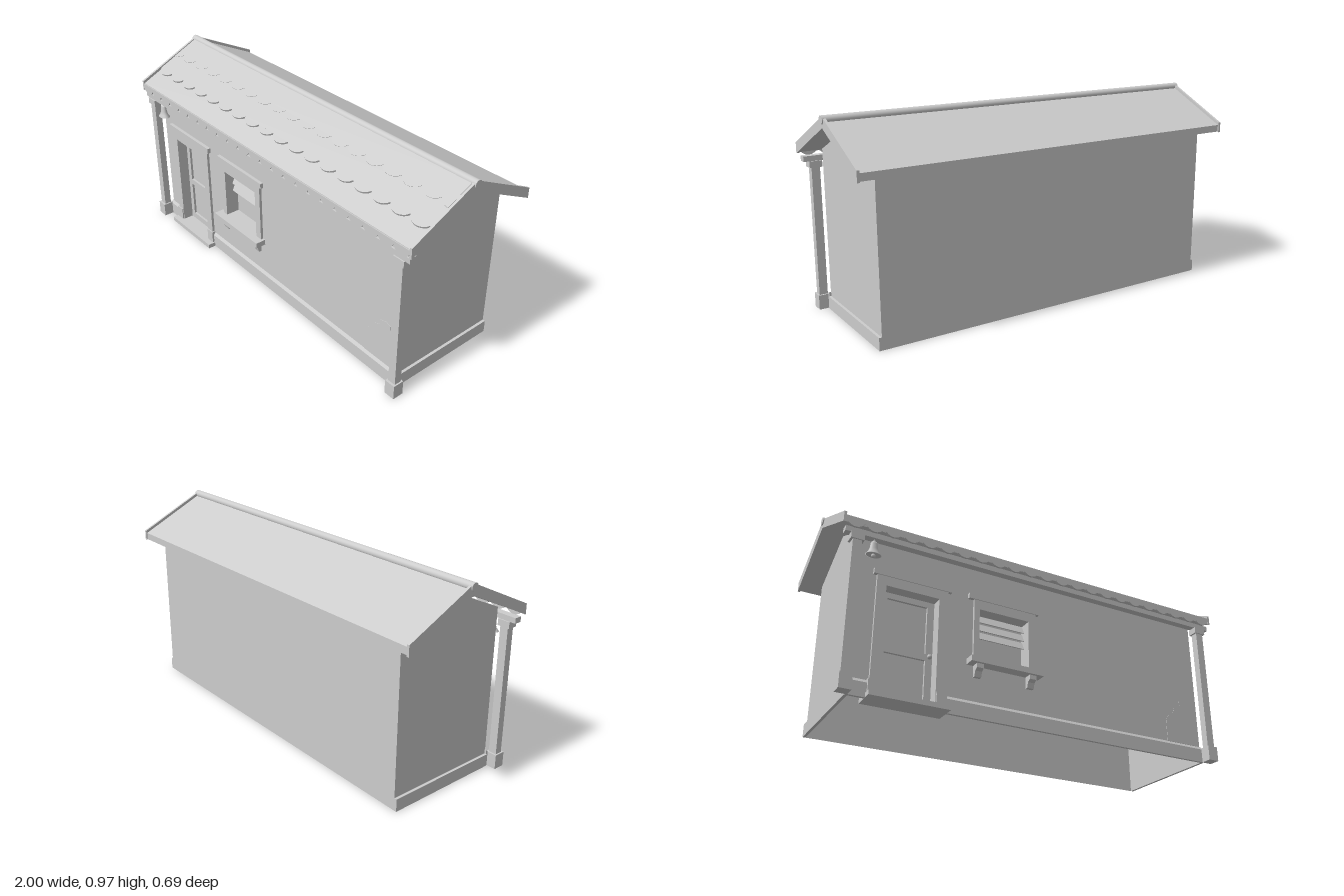
import * as THREE from 'three';

export function createModel() {
  const model = new THREE.Group();
  const plaster = new THREE.MeshStandardMaterial({ color: 0xcccccc, side: THREE.DoubleSide });
  plaster.name = 'plain grey';

  const add = (name, geometry, parent = model) => {
    const mesh = new THREE.Mesh(geometry, plaster);
    mesh.name = name;
    parent.add(mesh);
    return mesh;
  };
  const group = (name) => {
    const g = new THREE.Group();
    g.name = name;
    model.add(g);
    return g;
  };
  // box given by its limits on each axis
  const box = (name, x0, x1, y0, y1, z0, z1, parent) =>
    add(name, new THREE.BoxGeometry(x1 - x0, y1 - y0, z1 - z0)
      .translate((x0 + x1) / 2, (y0 + y1) / 2, (z0 + z1) / 2), parent);
  const polygon = (pts) => new THREE.Shape(pts.map(([x, y]) => new THREE.Vector2(x, y)));
  const extrude = (shape, depth) =>
    new THREE.ExtrudeGeometry(shape, { depth, bevelEnabled: false });
  // profile of (z, y) points extruded along x
  const alongX = (name, pts, x0, x1, parent) =>
    add(name, extrude(polygon(pts.map(([z, y]) => [-z, y])), x1 - x0)
      .rotateY(Math.PI / 2).translate(x0, 0, 0), parent);
  const rect = (x0, x1, y0, y1) => polygon([[x0, y0], [x0, y1], [x1, y1], [x1, y0]]);

  // walls: thin sheets, open underneath
  const W = 0.895, D = 0.285, EAVE = 0.77;
  const walls = group('walls');
  const front = polygon([[-W, 0], [W, 0], [W, EAVE], [-W, EAVE]]);
  front.holes.push(rect(-0.77, -0.524, 0.02, 0.523), rect(-0.326, -0.075, 0.272, 0.523));
  add('frontWall', new THREE.ShapeGeometry(front).translate(0, 0, D), walls);
  add('backWall', new THREE.PlaneGeometry(2 * W, EAVE).rotateY(Math.PI)
    .translate(0, EAVE / 2, -D), walls);
  const gable = polygon([[-D, 0], [D, 0], [D, EAVE], [0, 0.9], [-D, EAVE]]);
  for (const s of [-1, 1]) {
    add('gableWall', new THREE.ShapeGeometry(gable).rotateY(s * Math.PI / 2)
      .translate(s * W, 0, 0), walls);
    box('gableBase', s > 0 ? W : -W - 0.013, s > 0 ? W + 0.013 : -W, 0, 0.06, -D, D, walls);
  }
  const skirt = [[D - 0.003, 0], [0.295, 0], [0.295, 0.065], [D, 0.08], [D - 0.003, 0.08]];
  alongX('skirting', skirt, -W - 0.01, -0.82, walls);
  alongX('skirting', skirt, -0.475, W + 0.01, walls);

  // stepped patch of worn plaster low on the front wall
  add('wornPatch', extrude(polygon([[0.7, 0.08], [0.87, 0.08], [0.868, 0.26], [0.855, 0.27],
    [0.855, 0.3], [0.828, 0.31], [0.79, 0.3], [0.79, 0.275], [0.755, 0.26], [0.745, 0.23],
    [0.72, 0.215], [0.7, 0.19]]), 0.018).translate(0, 0, 0.269), walls);

  // roof
  const roof = group('roof');
  const SLOPE = 0.478, TILT = Math.atan(SLOPE), TOP = 0.95;
  const chevron = (top, thick, half) => [[-half, top - SLOPE * half - thick], [0, top - thick],
    [half, top - SLOPE * half - thick], [half, top - SLOPE * half], [0, top],
    [-half, top - SLOPE * half]];
  alongX('roofPanel', chevron(TOP, 0.034, 0.34), -0.985, 0.985, roof);
  for (const x of [-0.995, 0.983])
    alongX('bargeBoard', chevron(0.965, 0.05, 0.345), x, x + 0.012, roof);
  add('ridgePole', new THREE.CylinderGeometry(0.019, 0.019, 2, 24)
    .rotateZ(Math.PI / 2).translate(0, 0.95, 0), roof);

  // strip with a scalloped lower edge
  const scallops = (half, top, cusp, drop, count, phase) => {
    const pts = [[half, top], [-half, top]];
    const steps = count * 10;
    for (let i = 0; i <= steps; i++) {
      const t = i / steps;
      const lobe = Math.pow(Math.abs(Math.sin(Math.PI * (count * t + phase))), 0.65);
      pts.push([-half + 2 * half * t, cusp - drop * lobe]);
    }
    return polygon(pts);
  };
  // shingle rows: [upper z, lower z, thickness, phase]
  for (const [z0, z1, t, phase] of [[0.1, 0.257, 0.009, 0], [0.005, 0.142, 0.011, 0.5]]) {
    const k = 1 / Math.cos(TILT);
    add('shingleRow', extrude(scallops(0.98, -z0 * k, -(z1 - 0.028) * k, 0.03, 18, phase), t)
      .rotateX(-Math.PI / 2).rotateX(TILT).translate(0, TOP, 0), roof);
  }
  add('eaveTrim', extrude(scallops(0.983, 0.785, 0.768, 0.03, 23, 0), 0.01)
    .translate(0, 0, 0.335), roof);

  // porch beam and posts
  const porch = group('porch');
  box('beam', -0.98, 0.98, 0.715, 0.74, 0.3, 0.335, porch);
  for (const s of [-1, 1]) {
    const x = s * 0.925;
    box('post', x - 0.02, x + 0.02, 0.07, 0.69, 0.3, 0.335, porch);
    box('postBase', x - 0.027, x + 0.027, 0, 0.07, 0.292, 0.346, porch);
    box('postCapital', x - 0.03, x + 0.03, 0.685, 0.715, 0.294, 0.341, porch);
  }

  // framed opening with side posts, head and lintel cap
  const frame = (parent, x0, x1, in0, in1, y0, cap0, cap1) => {
    box('leftJamb', x0, in0, y0, 0.57, 0.215, 0.298, parent);
    box('rightJamb', in1, x1, y0, 0.57, 0.215, 0.298, parent);
    box('head', in0, in1, 0.523, 0.57, 0.215, 0.298, parent);
    box('lintel', cap0, cap1, 0.568, 0.594, 0.27, 0.302, parent);
  };

  // door
  const door = group('door');
  frame(door, -0.813, -0.481, -0.77, -0.524, 0.02, -0.829, -0.465);
  const leaf = rect(-0.77, -0.524, 0.02, 0.523);
  leaf.holes.push(rect(-0.743, -0.556, 0.272, 0.496), rect(-0.743, -0.556, 0.053, 0.242));
  add('doorFrame', extrude(leaf, 0.014).translate(0, 0, 0.23), door);
  box('doorPanel', -0.77, -0.524, 0.02, 0.523, 0.217, 0.232, door);
  add('doorKnob', new THREE.SphereGeometry(0.011, 16, 12).translate(-0.54, 0.258, 0.254), door);
  box('doorStep', -0.825, -0.468, 0, 0.022, 0.22, 0.335, door);
  for (const x of [-0.82, -0.521])
    box('doorPlinth', x, x + 0.046, 0.02, 0.085, 0.28, 0.304, door);

  // window
  const win = group('window');
  frame(win, -0.353, -0.037, -0.326, -0.075, 0.27, -0.38, -0.021);
  box('windowPane', -0.326, -0.075, 0.272, 0.523, 0.217, 0.227, win);
  box('windowSill', -0.38, -0.021, 0.245, 0.272, 0.215, 0.338, win);
  for (let i = 0; i < 3; i++) {
    const y = 0.4 + i * 0.041;
    alongX('blindSlat', [[0.23, y + 0.041], [0.236, y + 0.041], [0.256, y], [0.25, y]],
      -0.326, -0.075, win);
  }
  for (const x of [-0.348, -0.086])
    alongX('sillBracket', [[D, 0.19], [0.3, 0.19], [0.308, 0.215], [0.325, 0.225],
      [0.325, 0.246], [D, 0.246]], x, x + 0.033, win);

  // hanging bell
  const bell = group('bell');
  const profile = [[0.001, 0.066], [0.012, 0.064], [0.016, 0.055], [0.019, 0.03],
    [0.026, 0.012], [0.036, 0], [0.032, 0], [0.001, 0.012]]
    .map(([x, y]) => new THREE.Vector2(x, y)).reverse();
  add('bellBody', new THREE.LatheGeometry(profile, 24), bell);
  add('clapper', new THREE.SphereGeometry(0.01, 12, 8).translate(0, -0.004, 0), bell);
  add('hanger', new THREE.CylinderGeometry(0.005, 0.005, 0.03, 8).translate(0, 0.075, 0), bell);
  bell.scale.set(1, 1, 0.72);
  bell.position.set(-0.845, 0.64, 0.318);

  return model;
}
